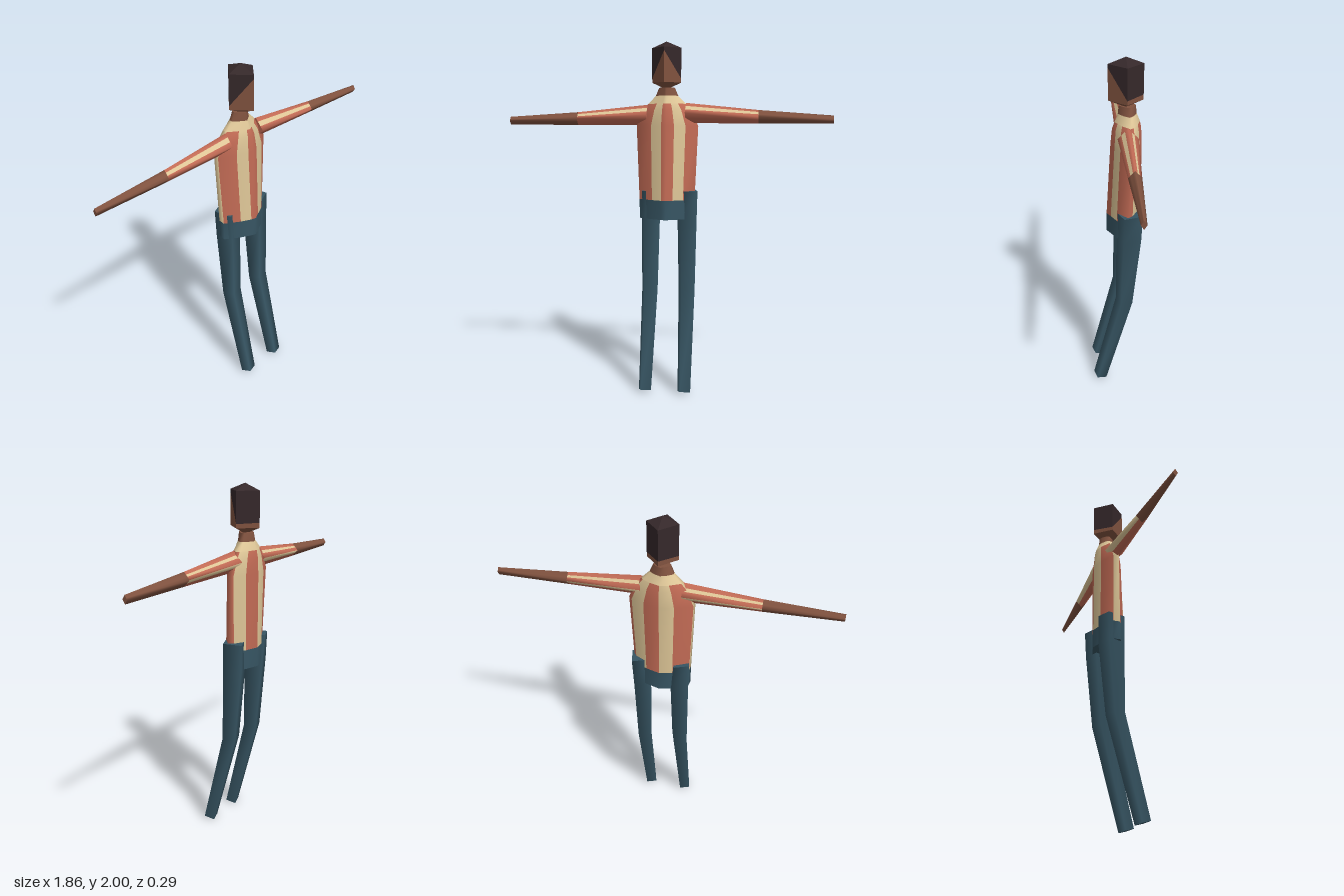
import * as THREE from 'three';

const material = (name, color) => {
  const m = new THREE.MeshStandardMaterial({ color });
  m.name = name;
  return m;
};

// Skin between closed rings of [x, y, z] points. Each segment may have its own
// material; rings run front, left, back so that faces point outward.
function loft(name, rings, materials, segmentMaterial = () => 0, { start = false, end = false, flat = false } = {}) {
  const n = rings[0].length;
  const points = rings.flat();
  const buckets = materials.map(() => []);
  for (let r = 0; r < rings.length - 1; r++) {
    for (let s = 0; s < n; s++) {
      const a = r * n + s, b = r * n + (s + 1) % n;
      buckets[segmentMaterial(s)].push(a, b, b + n, a, b + n, a + n);
    }
  }
  const cap = (ring, reverse) => {
    const base = points.length;
    const centre = [0, 1, 2].map((k) => ring.reduce((sum, p) => sum + p[k], 0) / n);
    points.push(...ring, centre);
    for (let s = 0; s < n; s++) {
      const a = base + s, b = base + (s + 1) % n;
      buckets[0].push(base + n, ...(reverse ? [b, a] : [a, b]));
    }
  };
  if (start) cap(rings[0], true);
  if (end) cap(rings[rings.length - 1], false);

  let geometry = new THREE.BufferGeometry();
  geometry.setAttribute('position', new THREE.Float32BufferAttribute(points.flat(), 3));
  geometry.setIndex(buckets.flat());
  let offset = 0;
  buckets.forEach((bucket, i) => {
    geometry.addGroup(offset, bucket.length, i);
    offset += bucket.length;
  });
  if (flat) geometry = geometry.toNonIndexed();
  geometry.computeVertexNormals();
  const mesh = new THREE.Mesh(geometry, materials.length > 1 ? materials : materials[0]);
  mesh.name = name;
  return mesh;
}

export function createModel() {
  const hair = material('hair', 0x35282a);
  const skin = material('skin', 0x80523f);
  const rust = material('rust stripe', 0xc26b55);
  const cream = material('cream stripe', 0xdec697);
  const denim = material('denim', 0x375563);
  const model = new THREE.Group();
  model.name = 'figure';

  // Body outline, x and z offsets; the last value marks a cream stripe
  const outline = [
    [-0.02, 0.092, 0], [0.01, 0.1, 0], [0.05, 0.078, 1], [0.11, 0.048, 0],
    [0.175, -0.01, 0], [0.155, -0.038, 1], [0.085, -0.075, 0], [0, -0.1, 1],
    [-0.075, -0.08, 0], [-0.165, -0.03, 1], [-0.168, 0.01, 0], [-0.08, 0.064, 1],
  ];
  const bodyRing = ([y, sx, sz, cz]) => outline.map(([x, z]) => [x * sx, y, cz + z * sz]);
  const hem = [1.11, 0.93, 0.96, -0.043];
  const yoke = [1.655, 0.63, 0.68, -0.06];
  const collar = [1.7, 0.37, 0.5, -0.06];

  model.add(loft('pelvis', [[1.0, 0.92, 0.97, -0.042], hem].map(bodyRing), [denim], undefined, { start: true }));
  model.add(loft('stripedShirt',
    [hem, [1.53, 1.03, 0.85, -0.055], [1.62, 0.8, 0.78, -0.057], yoke].map(bodyRing),
    [rust, cream], (s) => outline[s][2]));
  model.add(loft('shirtYoke', [yoke, collar].map(bodyRing), [cream]));
  model.add(loft('neck', [collar, [1.745, 0.26, 0.45, -0.06]].map(bodyRing), [skin], undefined, { end: true }));

  // Four-sided head with a peaked hairline over the face
  const headRing = (heights, r = 1) => [[0, 1], [1, 0], [0, -1], [-1, 0]]
    .map(([x, z], i) => [x * 0.083 * r, heights[i], -0.052 + z * 0.093 * r]);
  const level = (y) => [y, y, y, y];
  const hairline = headRing([1.945, 1.795, 1.8, 1.795]);
  model.add(loft('face', [headRing(level(1.735), 0.02), headRing(level(1.773)), hairline],
    [skin], undefined, { start: true, flat: true }));
  model.add(loft('hair', [hairline, headRing(level(1.965)), headRing(level(2), 0.01)],
    [hair], undefined, { end: true, flat: true }));

  // Arms: diamond section with points halfway along some sides
  const armSection = [[1, 0], [0.7, 0.3], [0.35, 0.65], [0, 1], [-0.5, 0.5],
    [-1, 0], [-0.5, -0.5], [0, -1], [0.4, -0.6], [0.65, -0.35]];
  const armStripes = [0, 1, 0, 0, 0, 0, 1, 0, 1, 0];
  const armRing = ([x, cy, cz, ry, rz]) => armSection.map(([y, z]) => [x, cy + y * ry, cz + z * rz]);
  for (const side of [1, -1]) {
    const label = side > 0 ? 'left' : 'right';
    const drop = side > 0 ? 0 : -0.01;
    const shoulder = [0.11 * side, 1.603 + drop, -0.055, 0.057, 0.055];
    const elbow = [0.52 * side, 1.582 + drop, -0.048, 0.037, 0.034];
    const hand = [0.93 * side, 1.566 + drop / 2, -0.043, 0.022, 0.014];
    const along = (list) => (side > 0 ? list : list.reverse()).map(armRing);
    const outer = side > 0 ? { end: true } : { start: true };
    const inner = side > 0 ? { start: true } : { end: true };
    model.add(loft(label + 'Sleeve', along([shoulder, elbow]), [rust, cream], (s) => armStripes[s], inner));
    model.add(loft(label + 'Forearm', along([elbow, hand]), [skin], undefined, outer));
  }

  // Legs: turned square section, bent at the knee, slanted at the foot
  const legSection = [[-0.25, 0.5], [0.5, 0.25], [0.25, -0.5], [-0.5, -0.25]];
  for (const side of [1, -1]) {
    const rings = [
      [0.011, 0.114, 0.108, 0.078, 0.074, 0.022],
      [0.58, 0.109, -0.04, 0.1, 0.092, 0.015],
      [1.0, 0.107, -0.063, 0.12, 0.134, 0],
      [1.16, 0.118, -0.068, 0.105, 0.138, 0],
    ].map(([y, x, cz, w, d, slant]) => legSection
      .map(([u, v]) => [x * side + 0.011 + u * w, y + v * slant, cz + v * d]));
    model.add(loft(side > 0 ? 'leftLeg' : 'rightLeg', rings, [denim], undefined, { start: true, end: true }));
  }
  return model;
}
